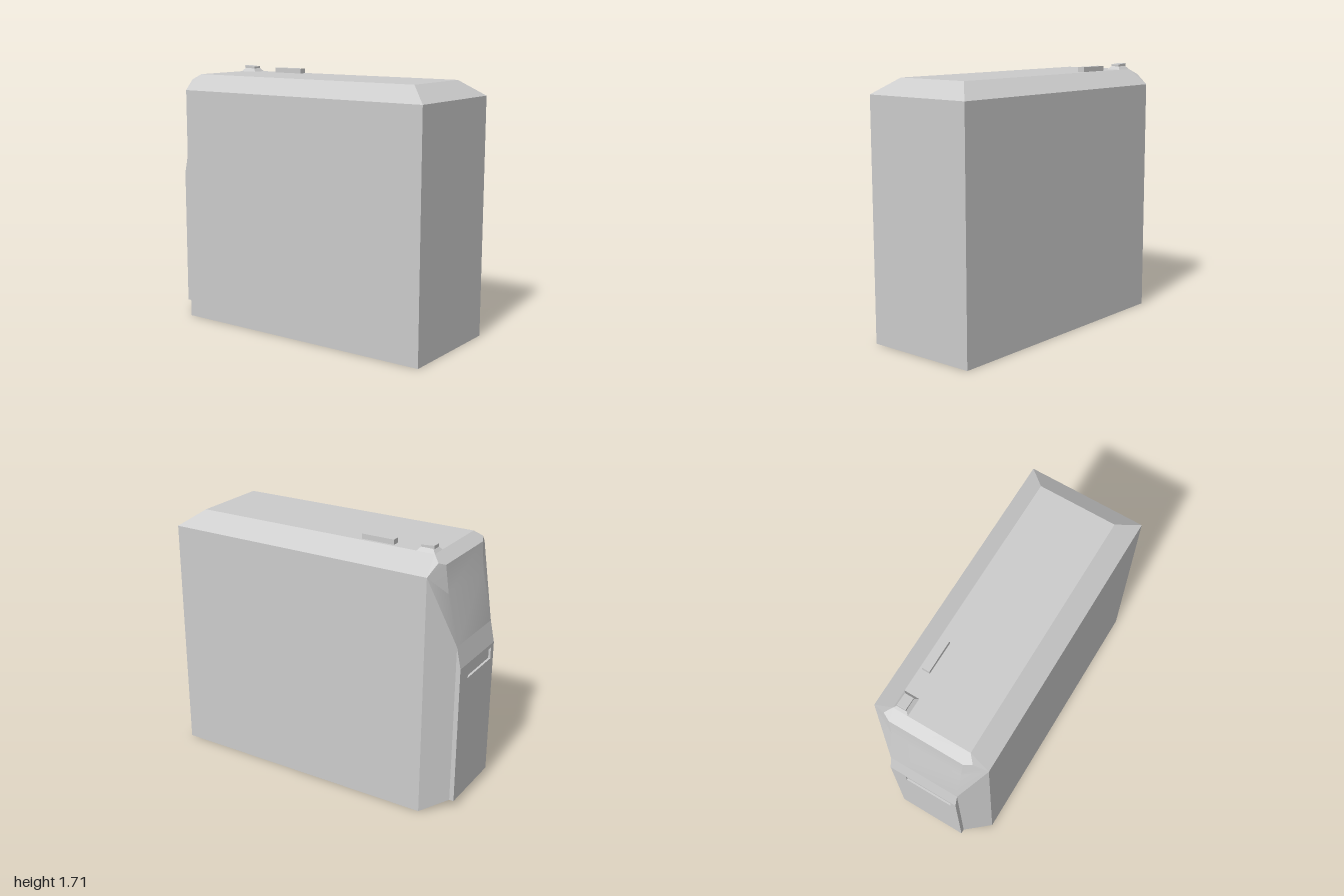
import * as THREE from 'three';
import { ConvexGeometry } from 'three/addons/geometries/ConvexGeometry.js';
import { toCreasedNormals } from 'three/addons/utils/BufferGeometryUtils.js';

export function createModel() {
  const model = new THREE.Group();
  const material = new THREE.MeshStandardMaterial({ color: 0xcccccc });
  const add = (name, geometry, x = 0, y = 0, z = 0) => {
    const mesh = new THREE.Mesh(geometry, material);
    mesh.name = name;
    mesh.position.set(x, y, z);
    model.add(mesh);
  };
  // Rectangle of corners at one height
  const ring = (x0, x1, z0, z1, y) => [
    [x0, z0], [x1, z0], [x1, z1], [x0, z1],
  ].map(([x, z]) => new THREE.Vector3(x, y, z));

  // Main case with a chamfered top
  add('case', new ConvexGeometry([
    ...ring(-0.83, 1, -0.39, 0.39, 0),
    ...ring(-0.83, 1, -0.39, 0.39, 1.565),
    ...ring(-0.81, 0.865, -0.26, 0.26, 1.665),
  ]));

  // Tapered end: key points on the +z side, mirrored to -z
  const p = {
    o0: [-0.83, 0, 0.39], o1: [-0.83, 1.565, 0.39],
    i0: [-0.97, 0.05, 0.24], i1: [-0.97, 1.11, 0.24],
    i2: [-0.9, 1.43, 0.24], i3: [-0.88, 1.61, 0.25],
    m: [-0.855, 1.63, 0.3], t: [-0.81, 1.665, 0.26],
  };
  const flip = ([x, y, z]) => [x, y, -z];
  const verts = [];
  for (const face of ['i0 o0 i1', 'o0 o1 i1', 'i1 o1 i2', 'i2 o1 i3', 'i3 o1 m', 'm o1 t', 'i3 m t']) {
    const [a, b, c] = face.split(' ').map((k) => p[k]);
    verts.push(a, b, c, flip(a), flip(c), flip(b));
  }
  const spine = ['o0', 'i0', 'i1', 'i2', 'i3', 't'].map((k) => p[k]);
  for (let i = 0; i < spine.length - 1; i++) {
    const a = spine[i], b = spine[i + 1];
    verts.push(flip(a), a, b, flip(a), b, flip(b));
  }
  const end = new THREE.BufferGeometry();
  end.setAttribute('position', new THREE.Float32BufferAttribute(verts.flat(), 3));
  add('taperedEnd', toCreasedNormals(end, 0.35));

  // Raised end panel: sloped backing plus a front plate with a slot
  const profile = new THREE.Shape([
    [-0.96, 0.05], [-0.985, 0.05], [-0.985, 0.97], [-1, 0.97], [-0.97, 1.11], [-0.96, 1.11],
  ].map(([x, y]) => new THREE.Vector2(x, y)));
  add('panelBacking', new THREE.ExtrudeGeometry(profile, { depth: 0.48, bevelEnabled: false }), 0, 0, -0.24);

  const rect = (T, z0, z1, y0, y1) => new T([
    [z0, y0], [z1, y0], [z1, y1], [z0, y1],
  ].map(([z, y]) => new THREE.Vector2(z, y)));
  const plate = rect(THREE.Shape, -0.24, 0.24, 0.05, 0.97);
  plate.holes.push(rect(THREE.Path, -0.13, 0.2, 0.87, 0.945));
  add('slottedPanel', new THREE.ExtrudeGeometry(plate, { depth: 0.015, bevelEnabled: false })
    .rotateY(-Math.PI / 2), -0.985);

  // Button on its sloped base, and the long slider
  add('buttonBase', new ConvexGeometry([
    ...ring(-0.81, -0.69, -0.26, -0.16, 1.665),
    ...ring(-0.79, -0.71, -0.24, -0.18, 1.687),
  ]));
  add('button', new ConvexGeometry([
    ...ring(-0.795, -0.71, -0.24, -0.18, 1.685),
    ...ring(-0.795, -0.71, -0.24, -0.18, 1.7),
    ...ring(-0.795, -0.79, -0.24, -0.18, 1.706),
  ]));
  add('slider', new THREE.BoxGeometry(0.22, 0.04, 0.05), -0.42, 1.677, -0.215);

  return model;
}
